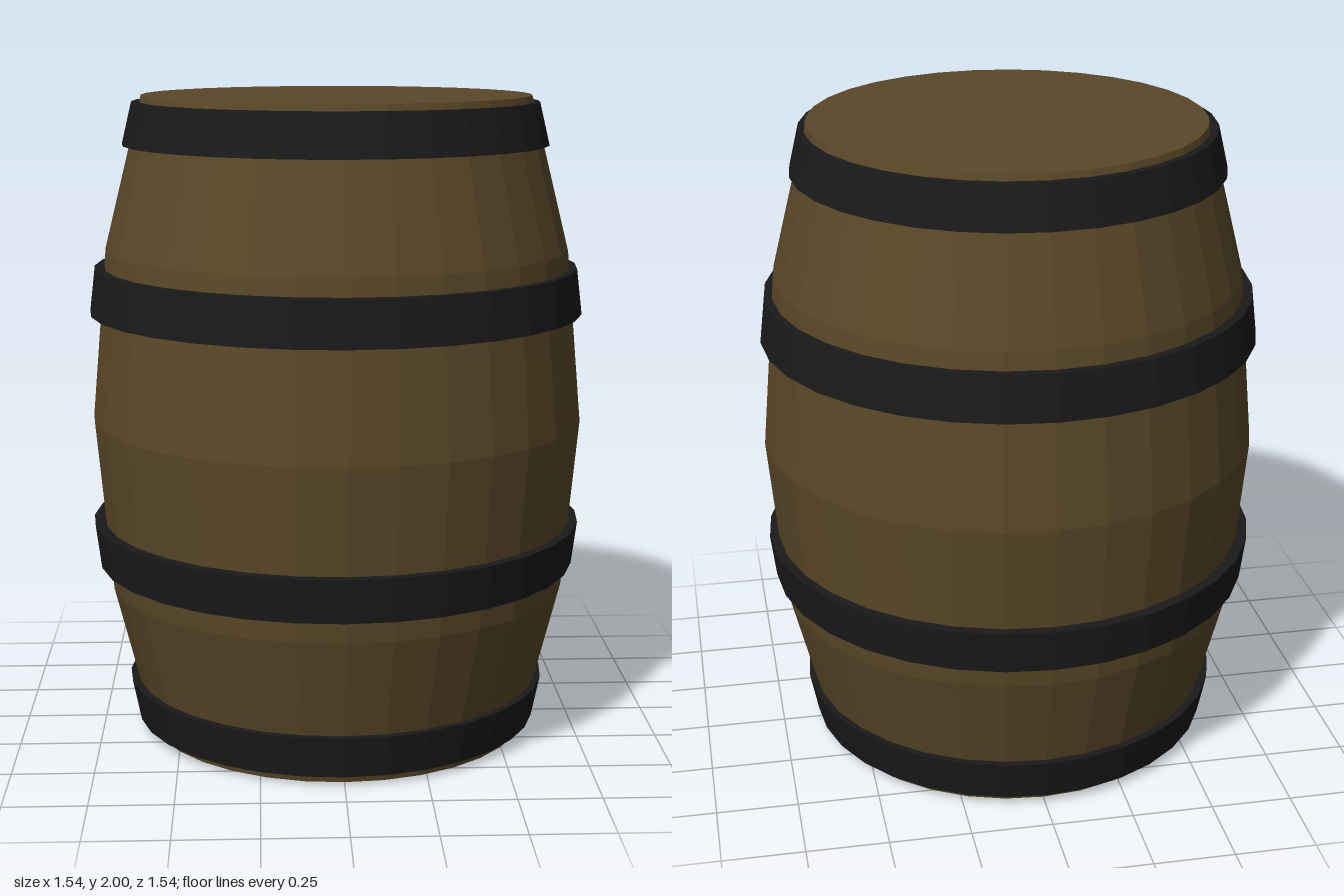
import * as THREE from 'three';

const SIDES = 32;

// Solid of revolution from [radius, y] pairs, listed upwards on the outside
function turned(name, profile, material) {
  const points = profile.map(([r, y]) => new THREE.Vector2(r, y));
  const mesh = new THREE.Mesh(new THREE.LatheGeometry(points, SIDES), material);
  mesh.name = name;
  return mesh;
}

export function createModel() {
  const barrel = new THREE.Group();
  barrel.name = 'barrel';

  const wood = new THREE.MeshStandardMaterial({ color: 0x5a4828, flatShading: true });
  const iron = new THREE.MeshStandardMaterial({ color: 0x1a1a1a, flatShading: true });

  // Bulging wooden body with flat lids
  barrel.add(turned('body', [
    [0, 0], [0.6, 0], [0.718, 0.47], [0.766, 1], [0.718, 1.53], [0.6, 2], [0, 2],
  ], wood));

  // Iron hoops: bottom y, bottom radius, top y, top radius, inner radii
  const hoops = [
    ['bottomHoop', 0.03, 0.637, 0.16, 0.663, 0.6, 0.625],
    ['lowerHoop', 0.54, 0.752, 0.675, 0.769, 0.71, 0.725],
    ['upperHoop', 1.335, 0.767, 1.475, 0.75, 0.725, 0.71],
    ['topHoop', 1.85, 0.658, 1.98, 0.627, 0.625, 0.597],
  ];
  for (const [name, y0, r0, y1, r1, in0, in1] of hoops) {
    const hoop = turned(name, [[r0, y0], [r1, y1], [in1, y1], [in0, y0], [r0, y0]], iron);
    hoop.position.x = -0.003;
    barrel.add(hoop);
  }
  return barrel;
}
